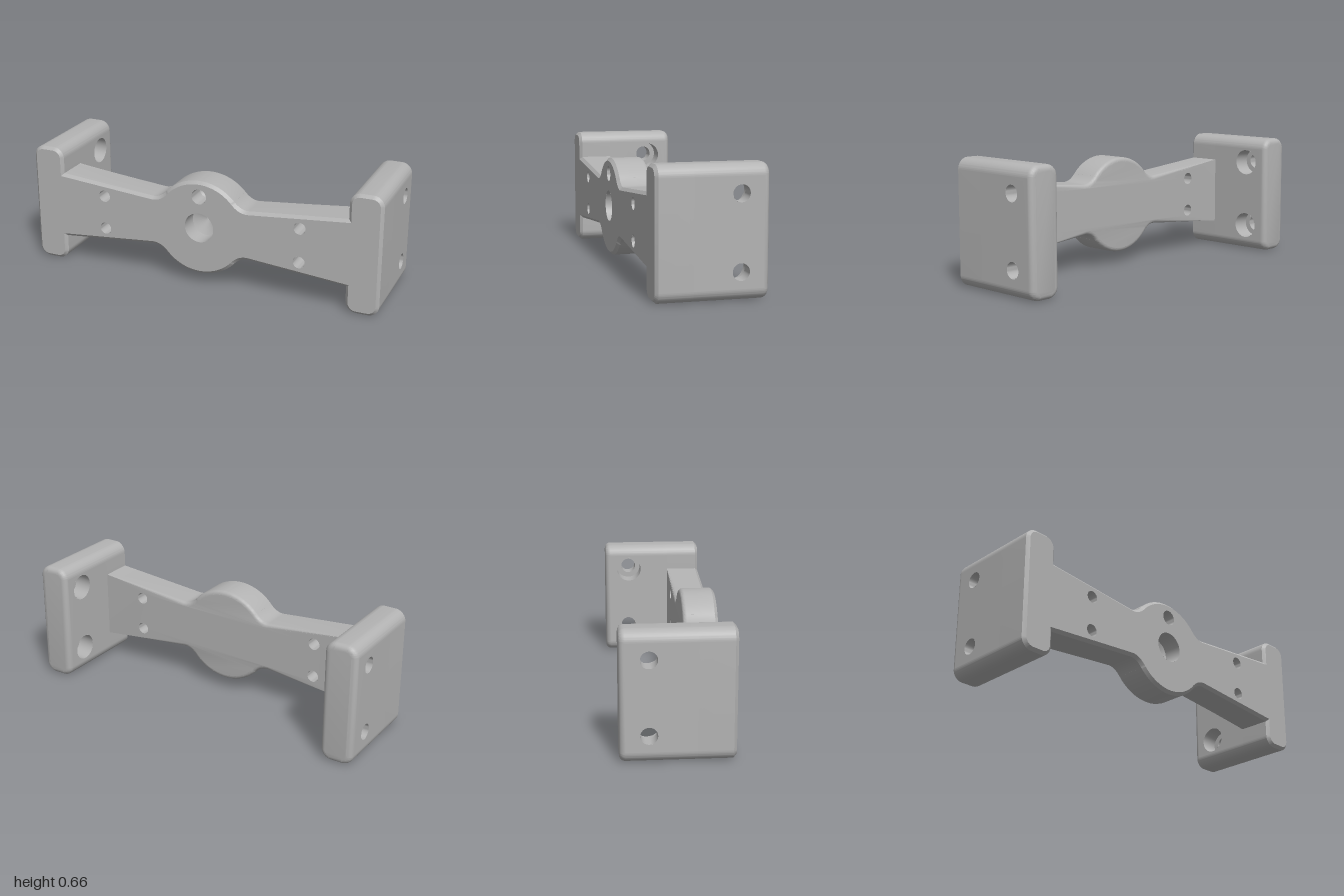
import * as THREE from 'three';
import { mergeGeometries, toCreasedNormals } from 'three/addons/utils/BufferGeometryUtils.js';

const MID = 0.331;                         // height of the symmetry plane
const FRONT = 0.283, BACK = -0.283, BAR_BACK = 0.094;
const PLATE_IN = 0.82, CORNER = 0.06;

// Full bracket outline, counter-clockwise, from one mirrored quadrant
function bracketOutline() {
  const s = new THREE.Shape();
  s.moveTo(1, 0);
  s.lineTo(1, MID - CORNER);
  s.absarc(1 - CORNER, MID - CORNER, CORNER, 0, Math.PI / 2);
  s.absarc(PLATE_IN + CORNER, MID - CORNER, CORNER, Math.PI / 2, Math.PI);
  s.lineTo(PLATE_IN, 0.187);
  s.lineTo(0.28, 0.139);
  s.quadraticCurveTo(0.235, 0.135, 0.197, 0.177);
  s.absarc(0, 0, 0.265, THREE.MathUtils.degToRad(42), Math.PI / 2);
  const q = s.getPoints(12);
  const flip = (pts, sx, sy) => pts.map(p => new THREE.Vector2(p.x * sx, p.y * sy));
  const all = [...q, ...flip(q, -1, 1).reverse(), ...flip(q, -1, -1), ...flip(q, 1, -1).reverse()];
  return all.filter((p, i) => p.distanceTo(all[(i + 1) % all.length]) > 1e-4);
}

// Move an outline inwards; amount may depend on the point
function inset(pts, amount) {
  const n = pts.length;
  return pts.map((p, i) => {
    const a = p.clone().sub(pts[(i + n - 1) % n]).normalize();
    const b = pts[(i + 1) % n].clone().sub(p).normalize();
    const m = new THREE.Vector2(-a.y - b.y, a.x + b.x);
    return p.clone().addScaledVector(m, amount(p) / (1 + a.dot(b)));
  });
}

// Walls through rings ordered from back to front; skip(length, level) leaves openings
function loft(rings, skip = () => false) {
  const pos = [];
  for (let k = 0; k + 1 < rings.length; k++) {
    const lo = rings[k], hi = rings[k + 1], n = lo.pts.length;
    for (let i = 0; i < n; i++) {
      const j = (i + 1) % n;
      if (skip(lo.pts[i].distanceTo(lo.pts[j]), k)) continue;
      const a = [lo.pts[i].x, lo.pts[i].y, lo.z], b = [lo.pts[j].x, lo.pts[j].y, lo.z];
      const c = [hi.pts[j].x, hi.pts[j].y, hi.z], d = [hi.pts[i].x, hi.pts[i].y, hi.z];
      pos.push(...a, ...b, ...c, ...a, ...c, ...d);
    }
  }
  return new THREE.BufferGeometry().setAttribute('position', new THREE.Float32BufferAttribute(pos, 3));
}

// Flat face with round holes given as [x, y, radius]
function face(pts, holes = []) {
  const s = new THREE.Shape(pts);
  for (const [x, y, r] of holes) s.holes.push(new THREE.Path().absarc(x, y, r, 0, Math.PI * 2, true));
  const g = new THREE.ShapeGeometry(s, 32).toNonIndexed();
  g.deleteAttribute('normal');
  g.deleteAttribute('uv');
  return g;
}

const solid = parts => toCreasedNormals(mergeGeometries(parts), 0.5);

// Hole lining turned from [radius, position along axis] pairs
const lining = profile => toCreasedNormals(
  new THREE.LatheGeometry(profile.map(([r, h]) => new THREE.Vector2(r, h)), 32), 0.5);

export function createModel() {
  const group = new THREE.Group();
  const grey = new THREE.MeshStandardMaterial({ color: 0xb3b3b3, side: THREE.DoubleSide });
  grey.name = 'grey';
  const add = (name, geometry, x = 0, y = 0) => {
    const mesh = new THREE.Mesh(geometry, grey);
    mesh.name = name;
    mesh.position.set(x, y + MID, 0);
    group.add(mesh);
  };
  const outline = bracketOutline();

  // Crossbar with round boss: chamfered front, back edge softened around the boss
  const soft = p => 1 - THREE.MathUtils.smoothstep(Math.abs(p.x), 0.25, 0.8);
  const barRings = [];
  const R = 0.022;
  for (let i = 0; i <= 4; i++) {
    const t = (i / 4) * Math.PI / 2;
    barRings.push({ pts: inset(outline, p => R * (1 - Math.sin(t)) * soft(p)), z: BAR_BACK + R * (1 - Math.cos(t)) });
  }
  barRings.push({ pts: outline, z: FRONT - 0.016 });
  barRings.push({ pts: inset(outline, () => 0.016), z: FRONT });
  const screwHoles = [];
  for (const x of [-0.565, 0.565]) for (const y of [-0.095, 0.095]) screwHoles.push([x, y, 0.033]);
  const blindHoles = [[0, 0.003, 0.083], [0, 0.18, 0.042]];
  const frontFace = face(barRings.at(-1).pts, [...screwHoles, ...blindHoles]).translate(0, 0, FRONT);
  const backPts = barRings[0].pts.filter(p => Math.abs(p.x) < PLATE_IN + 1e-3 && Math.abs(p.y) < 0.268);
  const backFace = face(backPts.map(p => new THREE.Vector2(-p.x, p.y)).reverse(), screwHoles)
    .rotateY(Math.PI).translate(0, 0, BAR_BACK);
  add('crossbar', solid([loft(barRings), frontFace, backFace]));

  // Linings of the screw holes and the two blind holes
  for (const [x, y, r] of screwHoles)
    add('screwHole', lining([[r, BAR_BACK], [r, FRONT]]).rotateX(Math.PI / 2), x, y);
  add('centreHole', lining([[0, 0.14], [0.083, 0.18], [0.083, FRONT]]).rotateX(Math.PI / 2), 0, 0.003);
  add('upperHole', lining([[0, 0.15], [0.025, 0.15], [0.042, 0.175], [0.042, FRONT]]).rotateX(Math.PI / 2), 0, 0.18);

  // End plates: rounded back edge, flat sides pierced by stepped bolt holes
  const F = 0.03, boltZ = -0.14, boltY = [-0.189, 0.189], bore = 0.043, counterbore = 0.072;
  for (const side of [1, -1]) {
    const pts = outline.filter(p => p.x * side > PLATE_IN - 1e-3 && Math.abs(p.y) > 0.2);
    const rings = [];
    for (let i = 0; i <= 5; i++) {
      const t = (i / 5) * Math.PI / 2;
      rings.push({ pts: inset(pts, () => F * (1 - Math.sin(t))), z: BACK + F * (1 - Math.cos(t)) });
    }
    rings.push({ pts, z: BAR_BACK });
    const parts = [loft(rings, (length, level) => level === 5 && length > 0.3)];
    parts.push(face(rings[0].pts.map(p => new THREE.Vector2(-p.x, p.y)).reverse())
      .rotateY(Math.PI).translate(0, 0, BACK));
    // Side panels, outer then inner
    for (const [x, dir, r] of [[1, side, bore], [PLATE_IN, -side, counterbore]]) {
      const h = MID - CORNER, z0 = -dir * (BACK + F), z1 = -dir * BAR_BACK;
      const rect = [[z0, -h], [z1, -h], [z1, h], [z0, h]].map(c => new THREE.Vector2(...c));
      parts.push(face(rect, boltY.map(y => [-dir * boltZ, y, r]))
        .rotateY(dir * Math.PI / 2).translate(x * side, 0, 0));
    }
    add(side > 0 ? 'leftPlate' : 'rightPlate', solid(parts));
    for (const y of boltY)
      add('boltHole', lining([[counterbore, PLATE_IN], [counterbore, 0.92], [bore, 0.92], [bore, 1]])
        .rotateZ(-side * Math.PI / 2).translate(0, 0, boltZ), 0, y);
  }
  return group;
}
